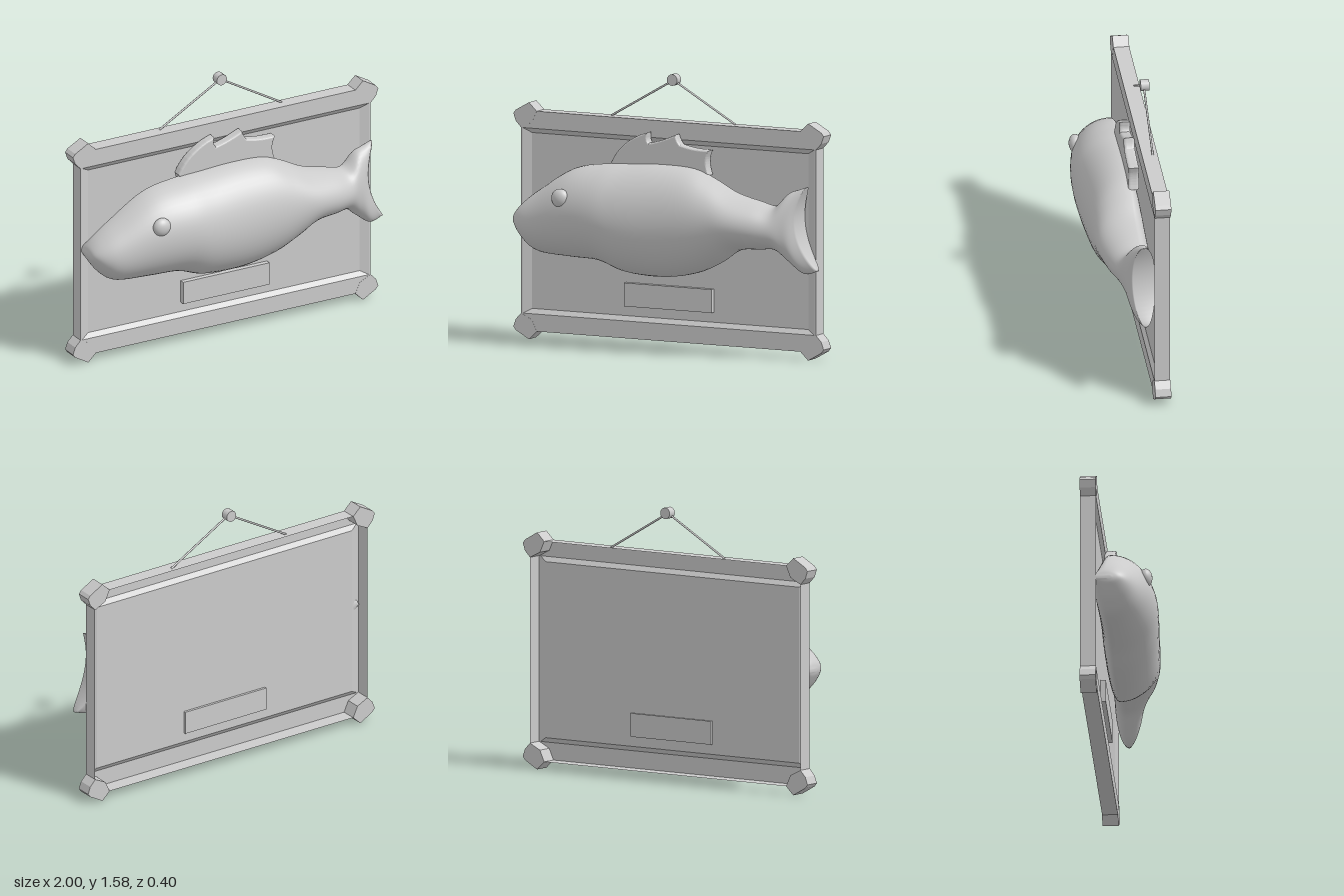
import * as THREE from 'three';

const grey = new THREE.MeshStandardMaterial({ color: 0xcccccc });
const greyTwoSided = new THREE.MeshStandardMaterial({ color: 0xcccccc, side: THREE.DoubleSide });

function mesh(name, geometry, material = grey) {
  const m = new THREE.Mesh(geometry, material);
  m.name = name;
  return m;
}

const shapeOf = (pts) => new THREE.Shape(pts.map(([x, y]) => new THREE.Vector2(x, y)));

// Open-backed tray: outer wall, front rails, bevel and recessed panel
function trayGeometry() {
  // half width, bottom, top, z of each rectangular loop
  const loops = [
    [0.95, 0.05, 1.32, -0.2], [0.95, 0.05, 1.32, -0.11],
    [0.94, 0.15, 1.22, -0.11], [0.89, 0.178, 1.192, -0.13],
  ].map(([w, b, t, z]) => [[-w, b, z], [w, b, z], [w, t, z], [-w, t, z]]);
  const pos = [];
  const quad = (a, b, c, d) => pos.push(...a, ...b, ...c, ...a, ...c, ...d);
  for (let k = 0; k < 3; k++) {
    for (let j = 0; j < 4; j++) {
      const n = (j + 1) % 4;
      quad(loops[k][j], loops[k][n], loops[k + 1][n], loops[k + 1][j]);
    }
  }
  quad(...loops[3]);
  const g = new THREE.BufferGeometry();
  g.setAttribute('position', new THREE.Float32BufferAttribute(pos, 3));
  g.computeVertexNormals();
  return g;
}

// Fish body and tail: rounded sections lofted from nose to forked tail
function fishGeometry() {
  // top x, top y, bottom x, bottom y, front z, mid-height x offset
  const stations = [
    [-0.945, 0.72, -0.945, 0.7, -0.03, 0],
    [-0.93, 0.76, -0.93, 0.665, 0.03, 0],
    [-0.88, 0.815, -0.87, 0.585, 0.085, 0],
    [-0.78, 0.89, -0.78, 0.525, 0.125, 0],
    [-0.57, 1.02, -0.58, 0.51, 0.172, 0],
    [-0.36, 1.06, -0.39, 0.5, 0.2, 0],
    [-0.2, 1.07, -0.22, 0.445, 0.2, 0],
    [0.0, 1.08, 0.02, 0.433, 0.188, 0],
    [0.2, 1.07, 0.23, 0.472, 0.178, 0],
    [0.33, 1.02, 0.385, 0.545, 0.168, 0],
    [0.47, 0.95, 0.5, 0.62, 0.157, 0],
    [0.625, 0.91, 0.63, 0.633, 0.125, 0],
    [0.73, 0.893, 0.735, 0.636, 0.085, 0],
    [0.81, 0.968, 0.82, 0.572, 0.055, -0.02],
    [0.87, 0.992, 0.91, 0.51, 0.035, -0.05],
    [0.925, 1.012, 0.997, 0.532, 0.005, -0.085],
  ];
  const curve = (f) => new THREE.CatmullRomCurve3(
    stations.map((s) => new THREE.Vector3(...f(s))), false, 'catmullrom', 0.5);
  const top = curve((s) => [s[0], s[1], 0]);
  const bottom = curve((s) => [s[2], s[3], 0]);
  const depth = curve((s) => [s[4], s[5], 0]);
  const rows = 75, sides = 48, zMid = -0.055, zBack = -0.125;
  const pos = [], index = [];
  for (let i = 0; i <= rows; i++) {
    const t = top.getPoint(i / rows), b = bottom.getPoint(i / rows), d = depth.getPoint(i / rows);
    for (let j = 0; j < sides; j++) {
      const a = (j / sides) * Math.PI * 2, s = Math.sin(a), c = Math.cos(a);
      const k = (1 + s) / 2;
      pos.push(
        b.x + (t.x - b.x) * k + d.y * c * c,
        b.y + (t.y - b.y) * k,
        zMid + c * (c > 0 ? d.x - zMid : zMid - zBack));
    }
  }
  for (let i = 0; i < rows; i++) {
    for (let j = 0; j < sides; j++) {
      const n = (j + 1) % sides, p = i * sides, q = p + sides;
      index.push(p + j, q + j, p + n, q + j, q + n, p + n);
    }
  }
  // end caps, bridged between mirrored front and back points
  const h = sides / 2;
  for (const [o, flip] of [[0, true], [rows * sides, false]]) {
    for (let j = -h / 2; j < h / 2; j++) {
      const w = (v) => o + ((v + sides) % sides);
      const [a, b, c, d] = [w(j), w(j + 1), w(h - j - 1), w(h - j)];
      if (flip) index.push(a, b, c, a, c, d);
      else index.push(a, c, b, a, d, c);
    }
  }
  const g = new THREE.BufferGeometry();
  g.setAttribute('position', new THREE.Float32BufferAttribute(pos, 3));
  g.setIndex(index);
  g.computeVertexNormals();
  return g;
}

// Spiny dorsal fin with softened edges
function finGeometry() {
  const s = new THREE.Shape();
  s.moveTo(-0.32, 1.03);
  s.lineTo(-0.33, 1.07);
  s.quadraticCurveTo(-0.27, 1.19, -0.115, 1.245);
  s.quadraticCurveTo(-0.125, 1.21, -0.1, 1.185);
  s.quadraticCurveTo(-0.02, 1.2, 0.07, 1.242);
  s.quadraticCurveTo(0.08, 1.21, 0.1, 1.19);
  s.quadraticCurveTo(0.19, 1.165, 0.28, 1.17);
  s.quadraticCurveTo(0.25, 1.12, 0.28, 1.04);
  s.lineTo(0.2, 1.0);
  return new THREE.ExtrudeGeometry(s, {
    depth: 0.03, curveSegments: 8, bevelThickness: 0.016, bevelSize: 0.01, bevelSegments: 4,
  }).translate(0, 0, -0.093);
}

export function createModel() {
  const model = new THREE.Group();
  model.name = 'mountedFish';

  model.add(mesh('plaque', trayGeometry(), greyTwoSided));

  // Corner guards, mirrored about the plaque's centre
  const corner = [[0.85, 0.635], [0.90, 0.683], [0.985, 0.635], [1, 0.615], [0.985, 0.572], [0.95, 0.535], [0.88, 0.57]];
  for (const sx of [-1, 1]) {
    for (const sy of [-1, 1]) {
      const g = new THREE.ExtrudeGeometry(shapeOf(corner.map(([x, y]) => [x * sx, y * sy])),
        { depth: 0.092, bevelEnabled: false });
      g.translate(0, 0.685, -0.201);
      model.add(mesh('cornerGuard', g));
    }
  }

  // Name plate, set through the panel
  const plate = mesh('namePlate', new THREE.BoxGeometry(0.565, 0.135, 0.045));
  plate.position.set(0, 0.303, -0.1225);
  model.add(plate);

  // Hanging cord and nail
  for (const sx of [-1, 1]) {
    const from = new THREE.Vector3(sx * 0.4, 1.32, -0.172), to = new THREE.Vector3(0, 1.55, -0.172);
    model.add(mesh('cord', new THREE.TubeGeometry(new THREE.LineCurve3(from, to), 1, 0.006, 8)));
  }
  const nail = mesh('nail', new THREE.CylinderGeometry(0.033, 0.033, 0.05, 16));
  nail.rotation.x = Math.PI / 2;
  nail.position.set(0, 1.552, -0.177);
  model.add(nail);

  // Fish
  const fish = new THREE.Group();
  fish.name = 'fish';
  fish.add(mesh('bodyAndTail', fishGeometry()));
  fish.add(mesh('dorsalFin', finGeometry()));
  const eye = mesh('eye', new THREE.SphereGeometry(0.054, 24, 16));
  eye.scale.z = 0.7;
  eye.position.set(-0.563, 0.872, 0.148);
  fish.add(eye);
  model.add(fish);

  return model;
}
